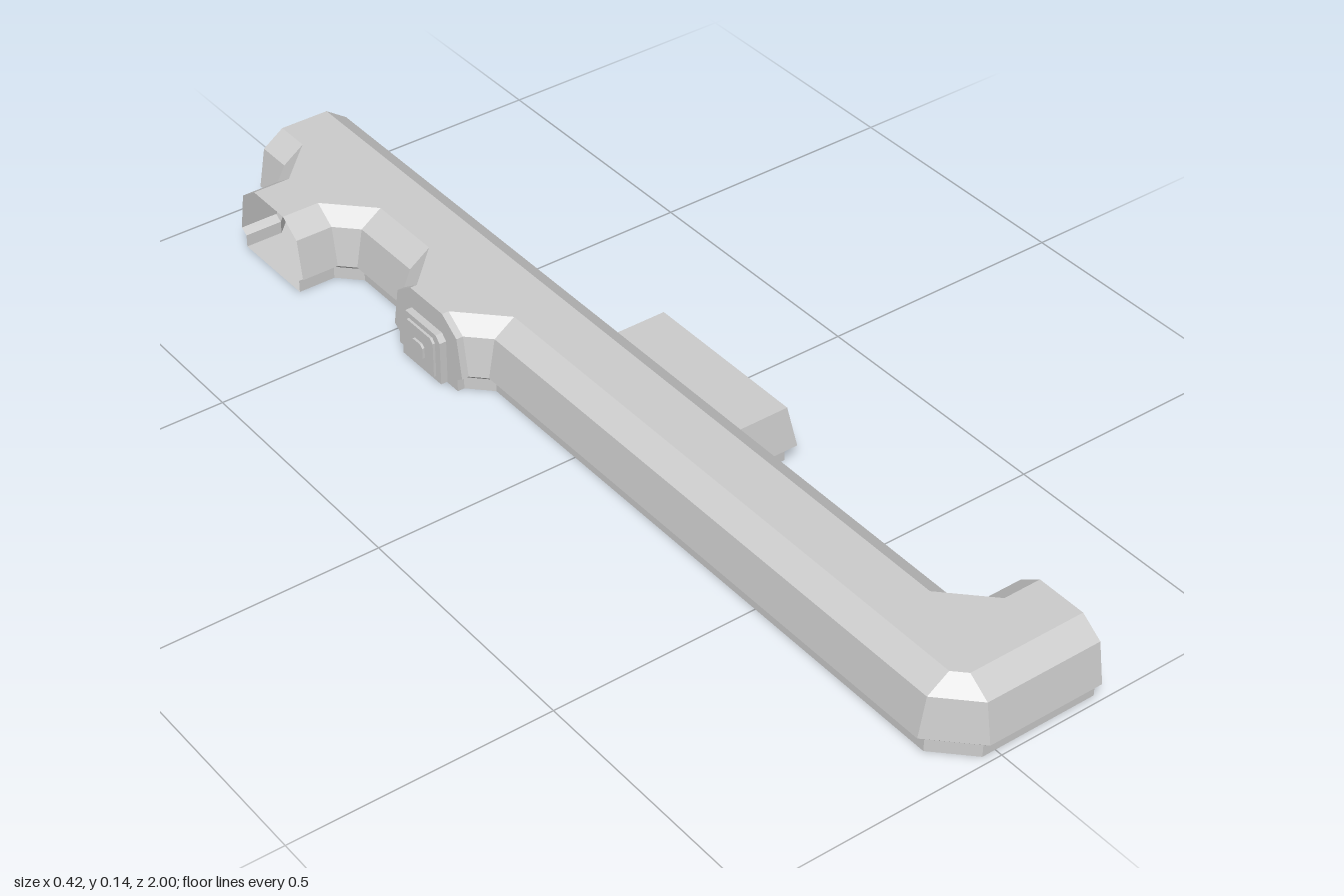
import * as THREE from 'three';

// Wall cross-section: height and inward offset from the widest outline
const PROFILE = [[0, 0.015], [0.025, 0.015], [0.035, 0], [0.115, 0.014], [0.145, 0.057]];

// Outline corners: x, z, inset direction x, inset direction z,
// first profile band built on the edge that starts here (4 = open doorway)
const CORRIDOR = [
  [-0.107, -1, 1, 0, 0],
  // open side branch
  [-0.107, -0.928, 1, 0, 0], [-0.133, -0.902, 0, 1, 0], [-0.209, -0.902, 0, 1, 4],
  [-0.209, -0.688, 0, -1, 0], [-0.133, -0.688, 0, -1, 0], [-0.107, -0.662, 1, 0, 0],
  // short branch closed by the door
  [-0.107, -0.503, 1, 0, 0], [-0.133, -0.477, 0, 1, 0], [-0.147, -0.477, 0, 1, 0],
  [-0.147, -0.263, 0, -1, 0], [-0.133, -0.263, 0, -1, 0], [-0.107, -0.237, 1, 0, 0],
  // bend at the front
  [-0.107, 0.92, 1, 0, 0], [-0.027, 1, 0, -1, 0], [0.209, 1, 0, -1, 4],
  [0.209, 0.786, 0, 1, 0], [0.133, 0.786, 0, 1, 0], [0.107, 0.76, -1, 0, 0],
  // wide opening to the alcove, then back to the rear doorway
  [0.107, 0.238, -1, -1, 3], [0.107, -0.138, -1, 1, 0], [0.107, -1, -1, 0, 4],
];
const ALCOVE = [
  [0.092, 0.238, 0, -1, 0], [0.209, 0.238, -1, -1, 0],
  [0.209, -0.138, -1, 1, 0], [0.092, -0.138, 0, 1, 4],
];

const inset = ([x, z, dx, dz], d) => [x + dx * d, z + dz * d];

// Walls that follow the outline through every profile level
function walls(outline, levels) {
  const pos = [];
  outline.forEach((a, i) => {
    const b = outline[(i + 1) % outline.length];
    for (let k = a[4]; k < levels.length - 1; k++) {
      const [[y0, d0], [y1, d1]] = [levels[k], levels[k + 1]];
      const at = (p, y, d) => { const [x, z] = inset(p, d); return [x, y, z]; };
      const p = at(a, y0, d0), q = at(b, y0, d0), r = at(b, y1, d1), s = at(a, y1, d1);
      pos.push(...p, ...q, ...r, ...p, ...r, ...s);
    }
  });
  const g = new THREE.BufferGeometry();
  g.setAttribute('position', new THREE.Float32BufferAttribute(pos, 3));
  g.computeVertexNormals();
  return g;
}

// Flat floor or roof filling the outline at one profile level
function slab(outline, [y, d]) {
  const shape = new THREE.Shape(outline.map((p) => {
    const [x, z] = inset(p, d);
    return new THREE.Vector2(x, -z);
  }));
  return new THREE.ShapeGeometry(shape).rotateX(-Math.PI / 2).translate(0, y, 0);
}

export function createModel() {
  const model = new THREE.Group();
  const grey = new THREE.MeshStandardMaterial({ color: 0xcccccc, side: THREE.DoubleSide, flatShading: true });
  grey.name = 'plain grey';

  const add = (parent, name, geometry) => {
    const mesh = new THREE.Mesh(geometry, grey);
    mesh.name = name;
    parent.add(mesh);
    return mesh;
  };

  const section = (name, outline, levels) => {
    const group = new THREE.Group();
    group.name = name;
    add(group, name + 'Walls', walls(outline, levels));
    add(group, name + 'Floor', slab(outline, levels[0]));
    add(group, name + 'Roof', slab(outline, levels[levels.length - 1]));
    model.add(group);
  };
  section('corridor', CORRIDOR, PROFILE);
  section('alcove', ALCOVE, PROFILE.slice(0, 4));

  // Door on the short branch: clipped panel, raised plate and handle
  const door = new THREE.Group();
  door.name = 'door';
  door.position.set(-0.147, 0, -0.37);
  const panel = (w, y0, y1, cut, depth) => {
    const s = new THREE.Shape([[-w, y0], [w, y0], [w, y1 - cut], [w - cut, y1], [cut - w, y1], [-w, y1 - cut]]
      .map(([x, y]) => new THREE.Vector2(x, y)));
    return new THREE.ExtrudeGeometry(s, { depth, bevelEnabled: false }).rotateY(-Math.PI / 2);
  };
  add(door, 'doorFrame', panel(0.06, 0.002, 0.103, 0.012, 0.014));
  add(door, 'doorLeaf', panel(0.045, 0.012, 0.092, 0.008, 0.019));
  add(door, 'doorHandle', panel(0.018, 0.038, 0.066, 0.006, 0.024));
  model.add(door);

  return model;
}
